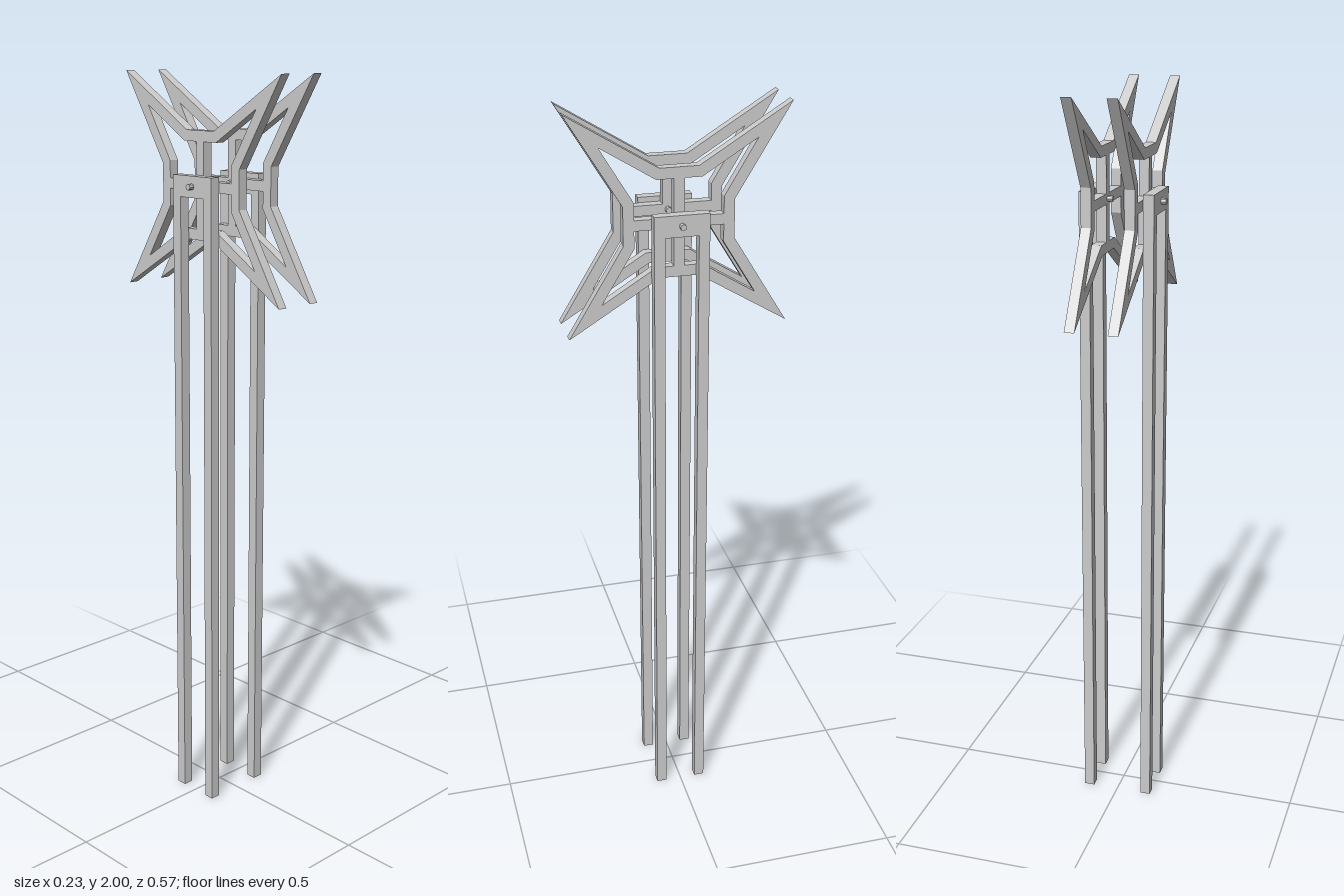
import * as THREE from 'three';

const HUB_Y = 1.718;
const material = new THREE.MeshStandardMaterial({ color: 0xcccccc, flatShading: true });

// Extrude a (z, y) outline along x, centred on x = 0
function slab(shape, thickness) {
  const g = new THREE.ExtrudeGeometry(shape, { depth: thickness, bevelEnabled: false });
  g.translate(0, 0, -thickness / 2);
  g.rotateY(-Math.PI / 2);
  return g;
}

const quadrants = [[1, 1], [-1, 1], [-1, -1], [1, -1]];

// Mirror one quadrant's points, reversing where needed to keep the winding
function mirrored(points, [sx, sy]) {
  const out = points.map(([x, y]) => new THREE.Vector2(x * sx, y * sy));
  return sx * sy < 0 ? out.reverse() : out;
}

// Four-pointed open frame with a cross in the middle
function starShape() {
  const outer = [[0.142, 0.05], [0.284, 0.282], [0.05, 0.139]];
  const c = 0.0135;
  const hole = [[c, c], [0.114, c], [0.114, 0.058], [0.199, 0.198], [0.058, 0.111], [c, 0.111]];
  const shape = new THREE.Shape(quadrants.flatMap(q => mirrored(outer, q)));
  shape.holes = quadrants.map(q => new THREE.Path(mirrored(hole, q)));
  return shape;
}

// Two long legs joined by a head plate
function standShape() {
  const w = 0.071, i = 0.043, top = 1.745, under = 1.69;
  return new THREE.Shape([
    [-w, 0], [-i, 0], [-i, under], [i, under], [i, 0], [w, 0], [w, top], [-w, top],
  ].map(([x, y]) => new THREE.Vector2(x, y)));
}

export function createModel() {
  const model = new THREE.Group();
  model.name = 'starStands';

  const star = slab(starShape(), 0.027);
  const stand = slab(standShape(), 0.028);
  const pin = new THREE.CylinderGeometry(0.008, 0.008, 0.084, 8).rotateZ(Math.PI / 2);

  for (const [side, s] of [['left', 1], ['right', -1]]) {
    const unit = new THREE.Group();
    unit.name = side + 'Unit';
    const add = (name, geometry, x, y) => {
      const mesh = new THREE.Mesh(geometry, material);
      mesh.name = side + name;
      mesh.position.set(s * x, y, 0);
      unit.add(mesh);
    };
    add('Star', star, 0.0565, HUB_Y);
    add('Stand', stand, 0.085, 0);
    add('Pin', pin, 0.071, HUB_Y);
    model.add(unit);
  }
  return model;
}
